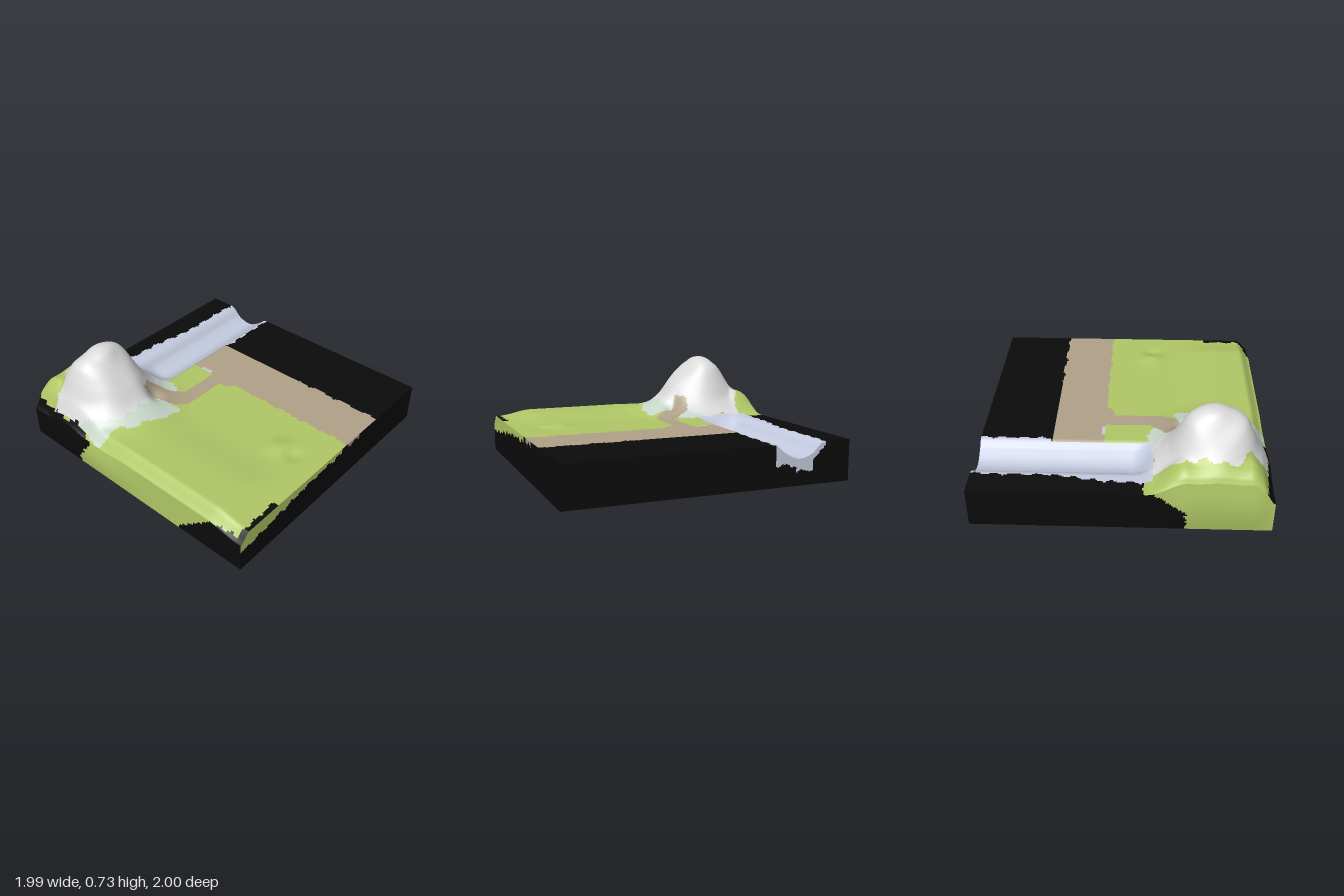
import * as THREE from 'three';

const X0 = -0.985, X1 = 0.99, Z0 = -0.98, Z1 = 0.995, BASE = 0.28;
const COLOURS = {
  base: ['black', 0x0b0b0b], grass: ['grass green', 0xb0c766], path: ['earth brown', 0xb0a188],
  river: ['river blue', 0xc4cbdf], mountain: ['rock grey', 0xdadada], foothill: ['pale green', 0xc6d6c8],
};

const smooth = (a, b, x) => THREE.MathUtils.smoothstep(x, a, b);
const bell = (x, z, cx, cz, r) => Math.exp(-((x - cx) ** 2 + (z - cz) ** 2) / (r * r));

// Smooth curve through [position, height] points, flat beyond both ends
function curve(points) {
  return t => {
    if (t <= points[0][0]) return points[0][1];
    const n = points.length;
    for (let i = 0; i < n - 1; i++) {
      const [a, ya] = points[i], [b, yb] = points[i + 1];
      if (t > b) continue;
      const slope = k => (k <= 0 || k >= n - 1) ? 0
        : (points[k + 1][1] - points[k - 1][1]) / (points[k + 1][0] - points[k - 1][0]);
      const w = b - a, s = (t - a) / w, s2 = s * s, s3 = s2 * s;
      return ya * (2 * s3 - 3 * s2 + 1) + slope(i) * w * (s3 - 2 * s2 + s)
        + yb * (3 * s2 - 2 * s3) + slope(i + 1) * w * (s3 - s2);
    }
    return points[n - 1][1];
  };
}

// Mountain slopes by distance from the peak, one per direction
const slopeRight = curve([[0, .46], [.1, .44], [.18, .375], [.25, .23], [.3, .13], [.4, .03], [.5, 0]]);
const slopeLeft = curve([[0, .46], [.1, .435], [.2, .38], [.25, .29], [.3, .17], [.36, .1], [.44, .03]]);
const slopeFront = curve([[0, .46], [.07, .44], [.13, .365], [.26, .245], [.35, .13], [.45, .07], [.58, .02], [.7, 0]]);
const slopeBack = curve([[0, .46], [.07, .44], [.14, .365], [.25, .22], [.33, .13], [.4, .02], [.45, 0]]);
// River bed across z and the shoulder behind the mountain
const bed = curve([[-.8, 0], [-.75, -.02], [-.7, -.07], [-.62, -.1], [-.56, -.095], [-.48, -.05], [-.41, 0]]);
const shoulder = curve([[-.99, .1], [-.96, .145], [-.9, .185], [-.82, .19], [-.7, .1], [-.6, 0]]);

function height(x, z) {
  const dx = x + .6, dz = z + .63, r = Math.hypot(dx, dz) || 1e-6;
  const c = (dx / r) ** 2;
  const peak = c * (dx > 0 ? slopeRight : slopeLeft)(r) + (1 - c) * (dz > 0 ? slopeFront : slopeBack)(r);
  const back = shoulder(z) * smooth(-1.02, -.82, x) * (1 - smooth(-.42, -.16, x));
  const d = peak - back;
  let h = BASE + (peak + back + Math.sqrt(d * d + .0006) - .0245) / 2;
  // raised lawn along the left side
  h += .038 * (1 - smooth(-.75, -.3, x)) * smooth(-.3, 0, z) * (1 - smooth(.72, .97, z));
  // rounded left edge
  h -= .07 * (1 - smooth(-.99, -.9, x));
  h += .012 * Math.sin(17 * x + 3) * Math.sin(15 * z) * smooth(.03, .2, peak) * (1 - smooth(.35, .46, peak));
  h += bed(z) * smooth(-.24, -.04, x);
  h += .022 * bell(x, z, -.2, .67, .09) - .018 * bell(x, z, -.2, .78, .06);
  h -= .05 * bell(x, z, -.42, -.32, .06);
  return h;
}

function inside(poly, x, z) {
  let hit = false;
  poly.forEach(([ax, az], i) => {
    const [bx, bz] = poly[(i + 1) % poly.length];
    if ((az > z) !== (bz > z) && x < ax + (bx - ax) * (z - az) / (bz - az)) hit = !hit;
  });
  return hit;
}
const rock = [[-.97, -.76], [-.8, -.8], [-.76, -.89], [-.6, -.9], [-.5, -.86], [-.38, -.87], [-.32, -.82], [-.21, -.8],
  [-.2, -.5], [-.28, -.4], [-.38, -.42], [-.46, -.36], [-.44, -.27], [-.6, -.27], [-.75, -.27], [-.85, -.34], [-.97, -.52]];
const foot = [[-.965, -.55], [-.98, -.28], [-.9, -.25], [-.81, -.26], [-.78, -.18], [-.68, -.16], [-.55, -.11], [-.37, -.1],
  [-.36, -.2], [-.3, -.29], [-.2, -.28], [-.17, -.38], [-.2, -.55], [-.6, -.6]];
const trail = [[.14, -.24], [-.18, -.24], [-.26, -.32], [-.3, -.4], [-.38, -.42], [-.46, -.36], [-.4, -.3], [-.38, -.2],
  [-.27, -.12], [.07, -.12], [.08, -.06], [.14, 0]];

// Colour region of a point on the upper surface
function topRegion(x, z) {
  const j = .008 * Math.sin(47 * x + 31 * z) + .005 * Math.sin(83 * z - 61 * x);
  if (x < -.965 + j && (z < -.42 || z > .8)) return 'base';
  if (x < -.945 + j && z < -.78) return 'base';
  if (z > .96 + j && x < -.62) return 'base';
  if (inside(trail, x, z)) return 'path';
  if (inside(rock, x + j, z + j)) return 'mountain';
  if (inside(foot, x + j, z + j)) return 'foothill';
  const far = -.86 + .06 * smooth(0, .5, x), near = x < .5 ? -.43 : -.405;
  if (x > -.21 && z > far + j && z < near + j * (x > .5)) return 'river';
  if (z < -.43) return x < -.15 + j && z < -.6 ? 'grass' : 'base';
  if (x > .128 && x < .15 && z > -.35 && z < -.26) return 'river';
  if (x < .13 + j * smooth(0, .3, z)) return 'grass';
  return x < .495 + j * smooth(.3, .4, z) ? 'path' : 'base';
}

// Colour regions of the four walls
const wob = t => .008 * Math.sin(60 * t) + .006 * Math.sin(37 * t);
const frontRegion = p => {
  if (p.x > .14 && p.x < .28 && p.y > .25 + wob(p.x)) return 'path';
  return p.x < .07 && p.y > .15 + .09 * smooth(-1.1, -.1, p.x) + wob(p.x) ? 'grass' : 'base';
};
const backRegion = p => p.x < -.42 + .2 * smooth(.12, .3, p.y) + wob(p.y * 2) ? 'grass' : 'base';
const rightRegion = p => p.z < -.425 && p.z > -.7 - .1 * smooth(.15, .28, p.y)
  && p.y > (p.z > -.57 ? .14 : .095) + wob(p.z) ? 'river' : 'base';
const leftRegion = p => p.z > -.5 + .15 * smooth(0, .3, p.y) + wob(p.y * 2)
  && p.z < .45 + 1.2 * p.y + wob(p.y * 3) ? 'grass' : 'base';

export function createModel() {
  const group = new THREE.Group();
  const parts = {};
  for (const name in COLOURS) parts[name] = { pos: [], nor: [] };

  // Adds a surface, sorting its cells into the coloured parts
  function patch(nu, nv, point, region) {
    const e = 1e-3, cols = [];
    for (let i = 0; i <= nu; i++) {
      cols.push([]);
      for (let k = 0; k <= nv; k++) {
        const u = i / nu, v = k / nv;
        const du = point(Math.min(1, u + e), v).sub(point(Math.max(0, u - e), v));
        const dv = point(u, Math.min(1, v + e)).sub(point(u, Math.max(0, v - e)));
        cols[i].push({ p: point(u, v), n: du.cross(dv).normalize() });
      }
    }
    for (let i = 0; i < nu; i++) for (let k = 0; k < nv; k++) {
      const a = cols[i][k], b = cols[i + 1][k], c = cols[i + 1][k + 1], d = cols[i][k + 1];
      const part = parts[region(a.p.clone().add(c.p).multiplyScalar(.5))];
      for (const q of [a, b, c, a, c, d]) {
        part.pos.push(q.p.x, q.p.y, q.p.z);
        part.nor.push(q.n.x, q.n.y, q.n.z);
      }
    }
  }
  const mix = THREE.MathUtils.lerp, V = (x, y, z) => new THREE.Vector3(x, y, z);

  // Landscape surface
  patch(170, 170, (u, v) => {
    const x = mix(X0, X1, v), z = mix(Z0, Z1, u);
    return V(x, height(x, z), z);
  }, p => topRegion(p.x, p.z));

  // Walls, bulging a little on the left and behind the mountain
  patch(170, 20, (u, v) => {
    const x = mix(X0, X1, u);
    return V(x, v * height(x, Z1), Z1);
  }, frontRegion);
  patch(170, 24, (u, v) => {
    const x = mix(X1, X0, u), swell = smooth(-1, -.85, x) * (1 - smooth(-.45, -.2, x));
    return V(x, v * height(x, Z0), Z0 - .02 * swell * Math.sin(Math.PI * v));
  }, backRegion);
  patch(170, 20, (u, v) => {
    const z = mix(Z1, Z0, u);
    return V(X1, v * height(X1, z), z);
  }, rightRegion);
  patch(170, 20, (u, v) => {
    const z = mix(Z0, Z1, u), swell = smooth(-.98, -.7, z) * (1 - smooth(-.3, .3, z));
    return V(X0 - .013 * swell * Math.sin(Math.PI * v), v * height(X0, z), z);
  }, leftRegion);

  // Underside
  patch(1, 1, (u, v) => V(mix(X0, X1, u), 0, mix(Z0, Z1, v)), () => 'base');

  for (const name in parts) {
    const geometry = new THREE.BufferGeometry();
    geometry.setAttribute('position', new THREE.Float32BufferAttribute(parts[name].pos, 3));
    geometry.setAttribute('normal', new THREE.Float32BufferAttribute(parts[name].nor, 3));
    const material = new THREE.MeshStandardMaterial({ color: COLOURS[name][1] });
    material.name = COLOURS[name][0];
    const mesh = new THREE.Mesh(geometry, material);
    mesh.name = name;
    group.add(mesh);
  }
  return group;
}
